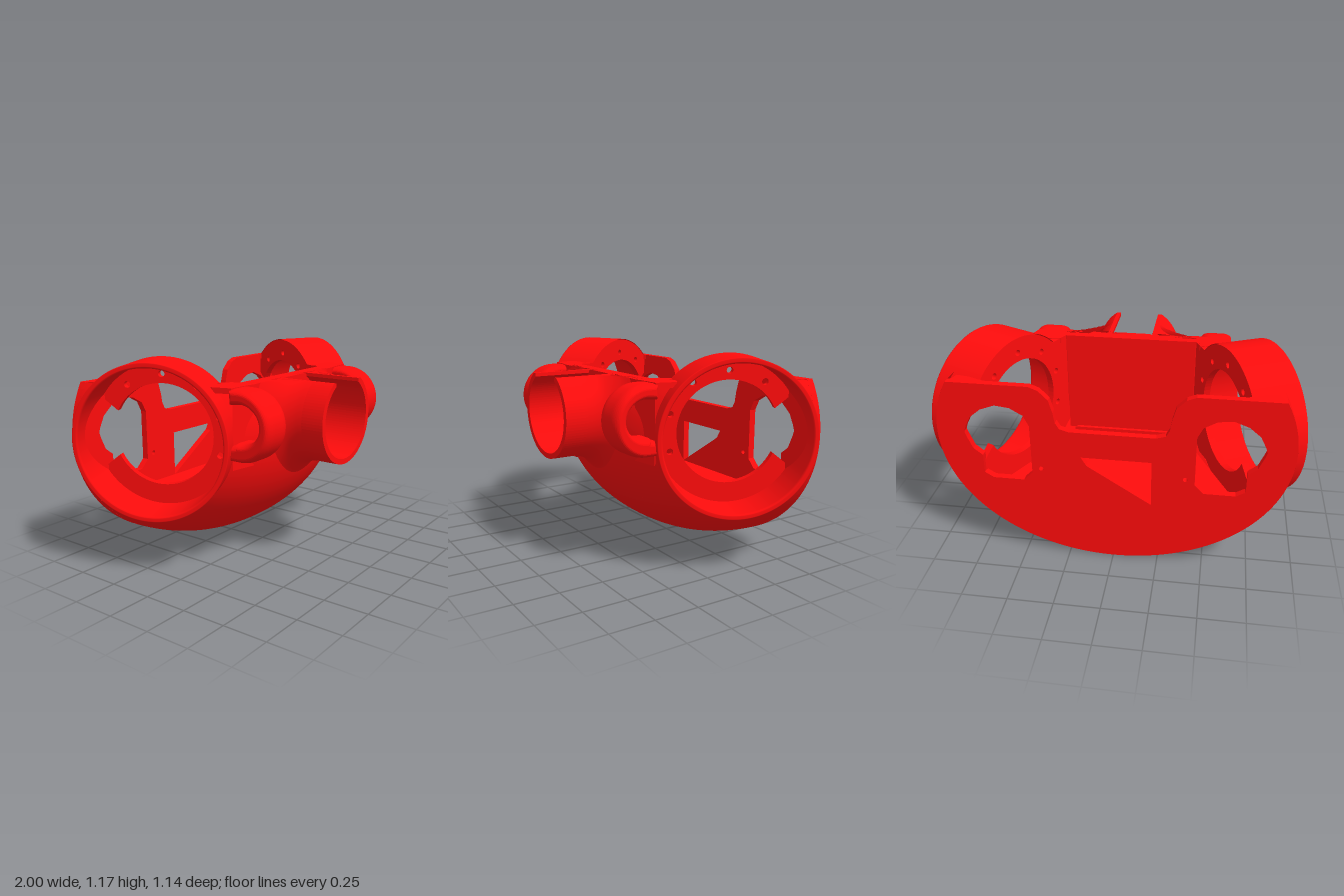
import * as THREE from 'three';

const V2 = (x, y) => new THREE.Vector2(x, y);
const material = new THREE.MeshStandardMaterial({ color: 0xff0c0c, side: THREE.DoubleSide });
const TOP = 1.04, BACK = -0.57, MID = 0.745;
const ANGLE = 1.133; // heading of the side rings
const DEPTH = 0.275, FLANGE = 0.235; // ring length, depth of its bolt flange
const AXIS = new THREE.Vector3(Math.sin(ANGLE), 0, Math.cos(ANGLE));
const RING = new THREE.Vector3(0.82, MID, -0.13); // centre of a ring's outer face

const shapeOf = (pts) => new THREE.Shape(pts.map(([x, y]) => V2(x, y)));
const pathOf = (pts) => new THREE.Path(pts.map(([x, y]) => V2(x, y)));
const circle = (x, y, r) => new THREE.Path().absarc(x, y, r, 0, Math.PI * 2, true);
const extrude = (shape, depth, extra = {}) =>
  new THREE.ExtrudeGeometry(shape, { depth, bevelEnabled: false, curveSegments: 40, ...extra });

// Level slab from a loop of (x, z) points; both() completes a symmetric loop
const both = (half) => [...half, ...[...half].reverse().map(([x, z]) => [-x, z])];
function slab(loop, y0, y1, holes = []) {
  const s = shapeOf(loop.map(([x, z]) => [x, -z]));
  s.holes.push(...holes);
  return extrude(s, y1 - y0).rotateX(-Math.PI / 2).translate(0, y0, 0);
}

// Snap vertices that lie in a cut region to its border, drop triangles fully inside
function trim(geometry, cut) {
  const g = geometry.toNonIndexed();
  const p = g.attributes.position, n = g.attributes.normal, pos = [], nor = [];
  for (let i = 0; i < p.count; i += 3) {
    let inside = 0;
    const tri = [0, 1, 2].map((k) => {
      const v = new THREE.Vector3().fromBufferAttribute(p, i + k);
      if (cut(v)) inside++;
      return v;
    });
    if (inside === 3) continue;
    tri.forEach((v, k) => {
      pos.push(v.x, v.y, v.z);
      nor.push(n.getX(i + k), n.getY(i + k), n.getZ(i + k));
    });
  }
  const out = new THREE.BufferGeometry();
  out.setAttribute('position', new THREE.Float32BufferAttribute(pos, 3));
  out.setAttribute('normal', new THREE.Float32BufferAttribute(nor, 3));
  return out;
}

// Push a point out of a cylinder; true if it was inside
function pushOut(v, centre, axis, radius, minDepth) {
  const rel = v.clone().sub(centre), d = rel.dot(axis);
  if (d < minDepth) return false;
  const radial = rel.addScaledVector(axis, -d);
  if (radial.length() >= radius) return false;
  radial.setLength(radius);
  v.copy(centre).addScaledVector(axis, d).add(radial);
  v.z = Math.max(v.z, BACK);
  return true;
}

// Mirror in x, keeping the faces outward
function mirrored(geometry) {
  const g = geometry.clone().scale(-1, 1, 1);
  for (const a of Object.values(g.attributes)) {
    const s = a.itemSize;
    for (let i = 0; i < a.count; i += 3) {
      for (let k = 0; k < s; k++) {
        const b = (i + 1) * s + k, c = (i + 2) * s + k;
        [a.array[b], a.array[c]] = [a.array[c], a.array[b]];
      }
    }
  }
  return g;
}

// Quarter bowl with slightly squared level sections, cut open for rings and cup
function bowl() {
  const NU = 200, NV = 90, phiTop = 1.978, e = 2 / 2.15, pos = [], idx = [];
  for (let j = 0; j <= NV; j++) {
    const phi = Math.max(0.002, (phiTop * j) / NV), k = Math.sin(phi);
    for (let i = 0; i <= NU; i++) {
      const t = (Math.PI * i) / NU, c = Math.cos(t);
      pos.push(0.95 * k * Math.sign(c) * Math.abs(c) ** e, MID - MID * Math.cos(phi),
        BACK + 0.89 * k * Math.max(0, Math.sin(t)) ** e);
      if (i < NU && j < NV) {
        const a = j * (NU + 1) + i, b = a + NU + 1;
        idx.push(a, b, a + 1, a + 1, b, b + 1);
      }
    }
  }
  const g = new THREE.BufferGeometry();
  g.setAttribute('position', new THREE.Float32BufferAttribute(pos, 3));
  g.setIndex(idx);
  g.computeVertexNormals();
  const cup = new THREE.Vector3(0, 0.83, 0), zAxis = new THREE.Vector3(0, 0, 1);
  return trim(g, (v) => {
    const m = new THREE.Vector3(v.x < 0 ? -1 : 1, 1, 1);
    return pushOut(v, RING.clone().multiply(m), AXIS.clone().multiply(m), 0.41, -DEPTH)
      || pushOut(v, cup, zAxis, 0.24, 0.1);
  });
}

// Flat back plate with dipped top edge and windows
function backPlate() {
  const pts = [];
  for (let i = 0; i <= 80; i++) {
    const phi = 1.978 * (i / 40 - 1);
    pts.push([0.95 * Math.sin(phi), MID - MID * Math.cos(phi)]);
  }
  pts.push(...both([[0.43, TOP], [0.38, 1.02], [0.33, 0.97], [0.31, 0.9], [0.3, 0.84], [0.28, 0.805], [0.23, 0.79]]));
  const s = shapeOf(pts);
  const win = [[0.44, 0.52], [0.49, 0.47], [0.66, 0.47], [0.71, 0.5], [0.71, 0.61], [0.76, 0.65], [0.79, 0.72],
    [0.8, 0.75], [0.79, 0.78], [0.76, 0.84], [0.7, 0.89], [0.62, 0.92], [0.54, 0.91], [0.47, 0.87], [0.44, 0.81]];
  for (const m of [1, -1]) {
    s.holes.push(pathOf(win.map(([x, y]) => [m * x, y])), circle(m * 0.39, 0.55, 0.013));
  }
  s.holes.push(pathOf([[0.17, 0.64], [-0.21, 0.64], [-0.21, 0.37], [0.14, 0.59]]));
  return extrude(s, 0.04).translate(0, 0, BACK);
}

const placeRing = (g) => g.rotateY(ANGLE).translate(RING.x, RING.y, RING.z);

// Open cylinder of a side ring, cut flat at the back
function ringBarrel() {
  const pts = [];
  for (let i = 0; i <= 24; i++) pts.push(V2(0.425, -DEPTH + ((DEPTH - 0.005) * i) / 24));
  pts.push(V2(0.424, -0.001), V2(0.42, 0), V2(0.405, 0), V2(0.401, -0.001));
  for (let i = 0; i <= 20; i++) pts.push(V2(0.396, -0.006 - ((FLANGE - 0.006) * i) / 20));
  const g = placeRing(new THREE.LatheGeometry(pts, 128).rotateX(Math.PI / 2));
  return trim(g, (v) => {
    if (v.z >= BACK) return false;
    v.z = BACK;
    return true;
  });
}

// Side wall of the tray with the ring's bolt flange, open towards the back window
function sideWall() {
  const pts = [];
  const arc = (r, from, to) => {
    for (let i = 0; i <= 60; i++) {
      const a = THREE.MathUtils.degToRad(from + ((to - from) * i) / 60);
      pts.push([Math.min(0.33, r * Math.cos(a)), r * Math.sin(a)]);
    }
  };
  arc(0.42, 334, 242);
  pts.push([-0.3, -0.375], [-0.45, -0.26], [-0.45, 0.295]);
  arc(0.42, 136, 26);
  arc(0.285, 26, 334);
  const s = shapeOf(pts);
  for (let k = 0; k < 5; k++) {
    const a = THREE.MathUtils.degToRad(54 + 36 * k);
    s.holes.push(circle(0.335 * Math.cos(a), 0.335 * Math.sin(a), 0.018));
  }
  return placeRing(extrude(s, DEPTH - FLANGE).translate(0, 0, -DEPTH));
}

// Rounded D-shaped hoop on the front
function hoop() {
  const s = new THREE.Shape();
  s.moveTo(0.23, 1.008);
  s.lineTo(0.27, 1.008);
  s.absellipse(0.27, 0.845, 0.167, 0.163, Math.PI / 2, -Math.PI / 2, true);
  s.lineTo(0.23, 0.682);
  s.lineTo(0.23, 0.712);
  s.lineTo(0.27, 0.72);
  s.absellipse(0.27, 0.855, 0.148, 0.13, -Math.PI / 2, Math.PI / 2, false);
  s.lineTo(0.23, 0.98);
  return extrude(s, 0.07, { bevelEnabled: true, bevelSize: 0.028, bevelThickness: 0.055, bevelSegments: 7 })
    .translate(0, 0, -0.035).rotateY(-Math.PI / 2).translate(0.5, 0, 0);
}

// Front cup wall, slotted along the top
function cupWall() {
  const s = new THREE.Shape(), out = Math.asin(0.21 / 0.255), inn = Math.acos(0.12 / 0.225);
  s.absarc(0, 0.83, 0.255, Math.PI - out, 2 * Math.PI + out, false);
  s.lineTo(0.12, TOP);
  s.absarc(0, 0.83, 0.225, inn, Math.PI - inn, true);
  s.lineTo(-0.12, TOP);
  return extrude(s, 0.37).translate(0, 0, 0.2);
}

function flattenTop(g) {
  const p = g.attributes.position;
  for (let i = 0; i < p.count; i++) p.setY(i, Math.min(p.getY(i), TOP));
  return g;
}

function cupFloor() {
  const s = new THREE.Shape().absarc(0, 0, 0.235, 0, Math.PI * 2);
  s.holes.push(circle(0, 0, 0.02));
  for (const x of [-0.127, 0.127]) for (const y of [-0.127, 0.127]) s.holes.push(circle(x, y, 0.014));
  return flattenTop(extrude(s, 0.04).translate(0, 0.83, 0.19));
}

// Concave flare blending the cup into the bowl
function cupFlare() {
  const pts = [[0.46, 0.19], [0.41, 0.225], [0.36, 0.255], [0.315, 0.295], [0.28, 0.34], [0.262, 0.39], [0.256, 0.44]];
  const curve = new THREE.SplineCurve(pts.map(([r, z]) => V2(r, z)));
  const g = new THREE.LatheGeometry(curve.getPoints(24), 96, 0.6 - Math.PI, Math.PI * 2 - 1.2);
  return flattenTop(g.rotateX(Math.PI / 2).translate(0, 0.83, 0));
}

export function createModel() {
  const model = new THREE.Group();
  model.name = 'ringedHousing';
  const add = (name, geometry) => {
    const mesh = new THREE.Mesh(geometry, material);
    mesh.name = name;
    model.add(mesh);
  };
  const pair = (name, geometry) => {
    add(name + 'Left', geometry);
    add(name + 'Right', mirrored(geometry));
  };

  add('bowl', bowl());
  add('backPlate', backPlate());

  // Tray floor with a shallow recess, and its front wall
  const recess = pathOf(both([[0.45, 0.35], [0.29, 0], [0.25, -0.03]]));
  add('trayFloor', slab(both([[0.7, -0.54], [0.385, 0.09], [0.33, 0.12]]), 0.35, 0.37, [recess]));
  add('trayRecess', slab(both([[0.46, -0.36], [0.26, 0.04]]), 0.32, 0.35));
  add('trayFrontFoot', slab(both([[0.35, 0.118], [0.33, 0.14]]), 0.36, 0.43));
  add('trayFrontWall', slab(both([[0.385, 0.14], [0.38, 0.155]]), 0.42, TOP));
  add('frontBlock', slab(both([[0.385, 0.142], [0.5, 0.17], [0.55, 0.21], [0.4, 0.235], [0.3, 0.23], [0.1, 0.205]]), 0.6, TOP));

  pair('sideRing', ringBarrel());
  pair('sideWall', sideWall());
  pair('frontHoop', hoop());

  // Level screw pads beside the rings
  pair('frontPad', slab([[0.41, 0.09], [0.56, 0.075], [0.6, 0.11], [0.57, 0.22], [0.39, 0.23]], 1.01, TOP, [circle(0.43, -0.19, 0.02)]));
  pair('backPad', slab([[0.66, -0.55], [0.86, -0.55], [0.84, -0.48], [0.72, -0.5]], 1.01, TOP, [circle(0.78, 0.525, 0.02)]));

  add('cupWall', cupWall());
  add('cupFloor', cupFloor());
  add('cupFlare', cupFlare());
  add('cupBoss', new THREE.TorusGeometry(0.026, 0.008, 10, 32).translate(0, 0.83, 0.232));
  return model;
}
